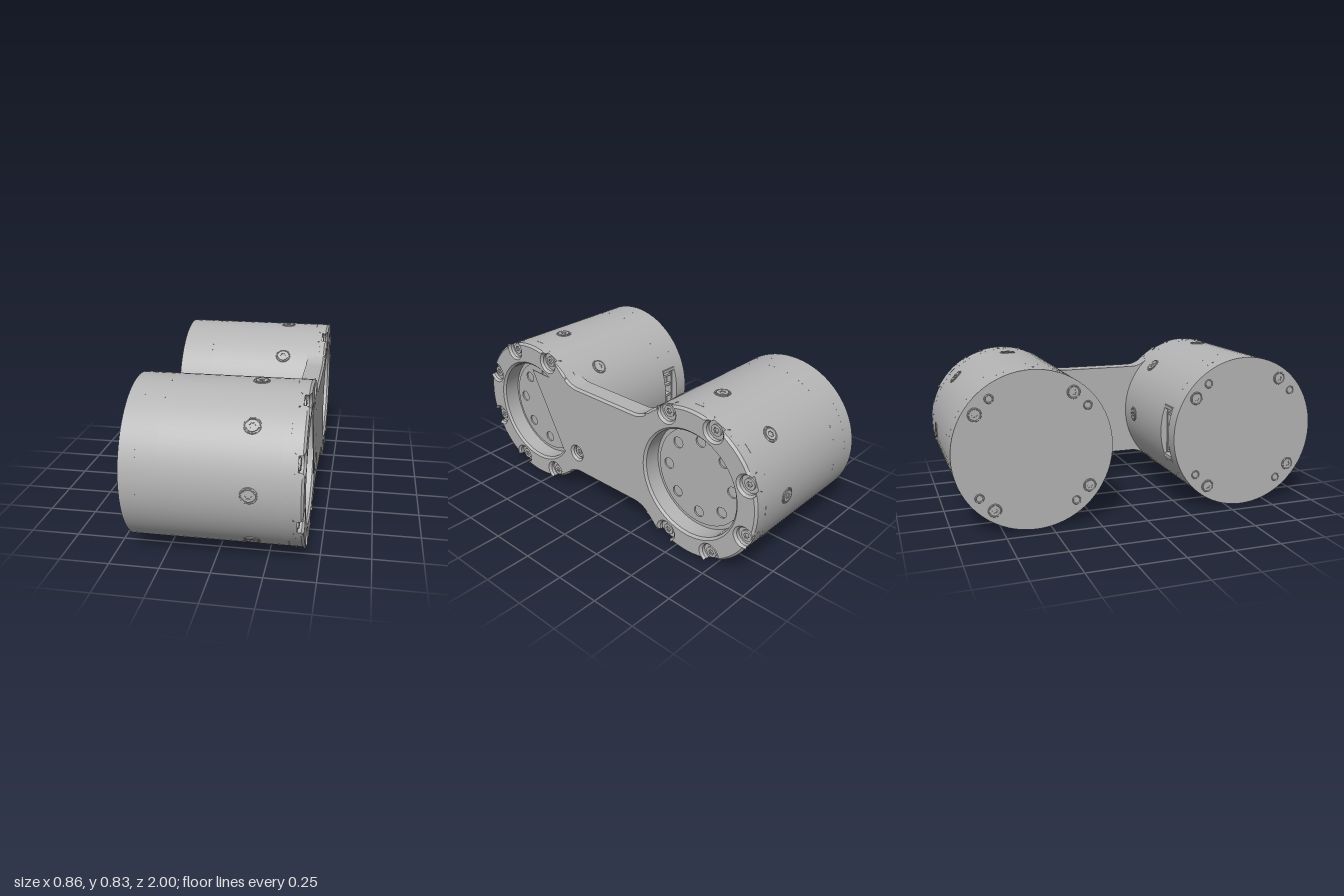
import * as THREE from 'three';
import { toCreasedNormals } from 'three/addons/utils/BufferGeometryUtils.js';

const R = 0.413, CY = 0.413, CZ = 0.585;   // drum radius and centres
const HALF = 0.267, FILLET = 0.14;         // bridge half height and its fillet
const BOLT_R = 0.378, NOTCH = 0.05;        // bolt circle and notch radius
const grey = new THREE.MeshStandardMaterial({ color: 0xb4b4b4 });
grey.name = 'grey';
const deg = Math.PI / 180;

function add(parent, name, geo, x = 0, y = 0, z = 0) {
  const m = new THREE.Mesh(geo, grey);
  m.name = name;
  m.position.set(x, y, z);
  parent.add(m);
  return m;
}

// Extrudes a shape drawn in (-z, y) along +x
function extrudeX(shape, depth, bevel = 0) {
  const g = new THREE.ExtrudeGeometry(shape, {
    depth, curveSegments: 48, bevelEnabled: bevel > 0,
    bevelThickness: bevel, bevelSize: bevel, bevelOffset: -bevel, bevelSegments: 1,
  });
  return toCreasedNormals(g.rotateY(Math.PI / 2), 0.5);
}

function drumX(x0, x1, r, open = false, start = 0, length = Math.PI * 2) {
  return new THREE.CylinderGeometry(r, r, x1 - x0, 72, 1, open, start, length)
    .rotateZ(-Math.PI / 2).translate((x0 + x1) / 2, 0, 0);
}

const circle = (r, x = 0, y = 0) => new THREE.Path().absarc(x, y, r, 0, Math.PI * 2, true);

// Screw head with a six-pointed socket, facing +z
function makeScrew(r) {
  const g = new THREE.Group();
  g.name = 'screw';
  const head = new THREE.Shape().absarc(0, 0, r, 0, Math.PI * 2);
  const star = [];
  for (let i = 0; i < 12; i++) {
    const q = r * (i % 2 ? 0.38 : 0.58);
    star.push(new THREE.Vector2(q * Math.cos(i * 30 * deg), q * Math.sin(i * 30 * deg)));
  }
  head.holes.push(new THREE.Path(star.reverse()));
  add(g, 'screwHead', new THREE.ExtrudeGeometry(head, { depth: 0.012, bevelEnabled: false, curveSegments: 14 }));
  return g;
}

// Plate outline: two round ends joined by a filleted bridge
function plateShape(notched) {
  const pts = [];
  const dz = Math.sqrt((R + FILLET) ** 2 - (HALF + FILLET) ** 2);
  const end = Math.atan2(HALF + FILLET, -dz);
  const delta = Math.acos((R * R + BOLT_R ** 2 - NOTCH ** 2) / (2 * R * BOLT_R));
  const spread = Math.acos((R * Math.cos(delta) - BOLT_R) / NOTCH);
  for (const side of [1, -1]) {
    const put = (u, v) => pts.push(new THREE.Vector2(side * u, side * v));
    const arc = (cu, cv, r, a, b, n) => {
      for (let i = 0; i <= n; i++) {
        const t = a + (b - a) * i / n;
        put(cu + r * Math.cos(t), cv + r * Math.sin(t));
      }
    };
    let from = -end;
    if (notched) for (const d of [-112.5, -67.5, -22.5, 22.5, 67.5, 112.5]) {
      const p = d * deg;
      arc(CZ, 0, R, from, p - delta, 10);
      arc(CZ + BOLT_R * Math.cos(p), BOLT_R * Math.sin(p), NOTCH, p - spread - 0.05, p + spread + 0.05 - 2 * Math.PI, 14);
      from = p + delta;
    }
    arc(CZ, 0, R, from, end, notched ? 10 : 70);
    // upper fillet, then the mirrored one reached by the other half
    arc(CZ - dz, HALF + FILLET, FILLET, end - Math.PI + 0.03, -Math.PI / 2, 8);
    arc(-CZ + dz, HALF + FILLET, FILLET, -Math.PI / 2, -end - 0.03, 8);
  }
  const s = new THREE.Shape(pts);
  for (const u of [CZ, -CZ]) s.holes.push(circle(0.29, u, 0));
  return s;
}

// One drum, its connector pocket facing +z
function makeDrum() {
  const g = new THREE.Group();
  g.name = 'drum';
  const x0 = -0.35, x1 = -0.25, gap = 0.32;
  add(g, 'drumEnd', drumX(-0.43, x0, R));
  add(g, 'drumBody', drumX(x1, 0.33, R));
  add(g, 'drumBand', drumX(x0, x1, R, true, gap, Math.PI * 2 - 2 * gap));

  // connector pocket
  const xm = (x0 + x1) / 2;
  add(g, 'pocketFloor', new THREE.BoxGeometry(0.1, 0.3, 0.3), xm, 0, 0.18);
  for (const s of [1, -1]) {
    add(g, 'pocketWall', new THREE.BoxGeometry(0.1, 0.02, 0.1), xm, s * 0.138, 0.342);
    add(g, 'socketRim', new THREE.BoxGeometry(0.01, 0.24, 0.06), xm + s * 0.038, 0, 0.35);
  }
  for (const y of [-0.1, -0.035, 0.035, 0.1])
    add(g, 'socketDivider', new THREE.BoxGeometry(0.08, 0.014, 0.05), xm, y, 0.352);
  for (const y of [-0.067, 0.067])
    add(g, 'socketTongue', new THREE.BoxGeometry(0.025, 0.04, 0.04), xm, y, 0.345);

  // screws and seam ticks around the side
  for (let i = 0; i < 8; i++) {
    const spoke = new THREE.Group();
    spoke.name = 'sideScrew';
    spoke.rotation.x = i * 45 * deg;
    const s = makeScrew(0.03);
    s.position.set(0.18, 0, R - 0.008);
    spoke.add(s);
    add(spoke, 'screwSeat', new THREE.TorusGeometry(0.038, 0.004, 6, 28), 0.18, 0, R - 0.001);
    add(spoke, 'seamTick', new THREE.BoxGeometry(0.005, 0.05, 0.006), 0.357, 0, R - 0.002);
    g.add(spoke);
  }

  // paired screws and slots on the closed end
  for (let i = 0; i < 4; i++) {
    const a = (45 + i * 90) * deg;
    const at = (o, off) => o.position.set(-0.43, 0.355 * Math.sin(a + off), 0.355 * Math.cos(a + off));
    const s = makeScrew(0.026);
    s.rotation.y = -Math.PI / 2;
    at(s, 0.16);
    s.position.x += 0.008;
    g.add(s);
    for (const [r, off] of [[0.031, 0.16], [0.02, -0.13]]) {
      const ring = add(g, 'endRing', new THREE.TorusGeometry(r, 0.004, 6, 24));
      ring.rotation.y = -Math.PI / 2;
      at(ring, off);
    }
  }

  // perforated disc at the bottom of the recess
  const disc = new THREE.Shape().absarc(0, 0, 0.268, 0, Math.PI * 2);
  for (let i = 0; i < 8; i++)
    disc.holes.push(circle(0.03, 0.205 * Math.cos(i * 45 * deg), 0.205 * Math.sin(i * 45 * deg)));
  add(g, 'recessDisc', extrudeX(disc, 0.008), 0.33);
  return g;
}

export function createModel() {
  const model = new THREE.Group();
  model.name = 'twinDrumUnit';

  for (const s of [-1, 1]) {
    const drum = makeDrum();
    drum.position.set(0, CY, s * CZ);
    if (s > 0) drum.rotation.x = Math.PI;
    model.add(drum);
  }

  // connecting plate: solid back layer and notched, chamfered front layer
  const bolt = [-CZ + BOLT_R * Math.cos(22.5 * deg), -BOLT_R * Math.sin(22.5 * deg)];
  add(model, 'plateBack', extrudeX(plateShape(false), 0.075), 0.325, CY);
  const front = plateShape(true);
  front.holes.push(circle(NOTCH - 0.012, bolt[0], bolt[1]));
  add(model, 'plateFront', extrudeX(front, 0.026, 0.012), 0.392, CY);

  // thin cover over part of the front recess
  const cover = new THREE.Shape();
  cover.moveTo(-CZ + 0.005, 0.267);
  cover.lineTo(-CZ + 0.235, -0.165);
  cover.absarc(-CZ, 0, 0.303, -34 * deg, 60 * deg, false);
  add(model, 'recessCover', extrudeX(cover, 0.005), 0.4248, CY);

  // plate bolts
  const spots = [bolt];
  for (const s of [1, -1]) for (const d of [-112.5, -67.5, -22.5, 22.5, 67.5, 112.5])
    spots.push([s * (CZ + BOLT_R * Math.cos(d * deg)), BOLT_R * Math.sin(d * deg)]);
  for (const [u, v] of spots) {
    const b = makeScrew(0.03);
    b.name = 'plateBolt';
    b.rotation.y = Math.PI / 2;
    b.position.set(0.397, CY + v, -u);
    model.add(b);
  }
  return model;
}
